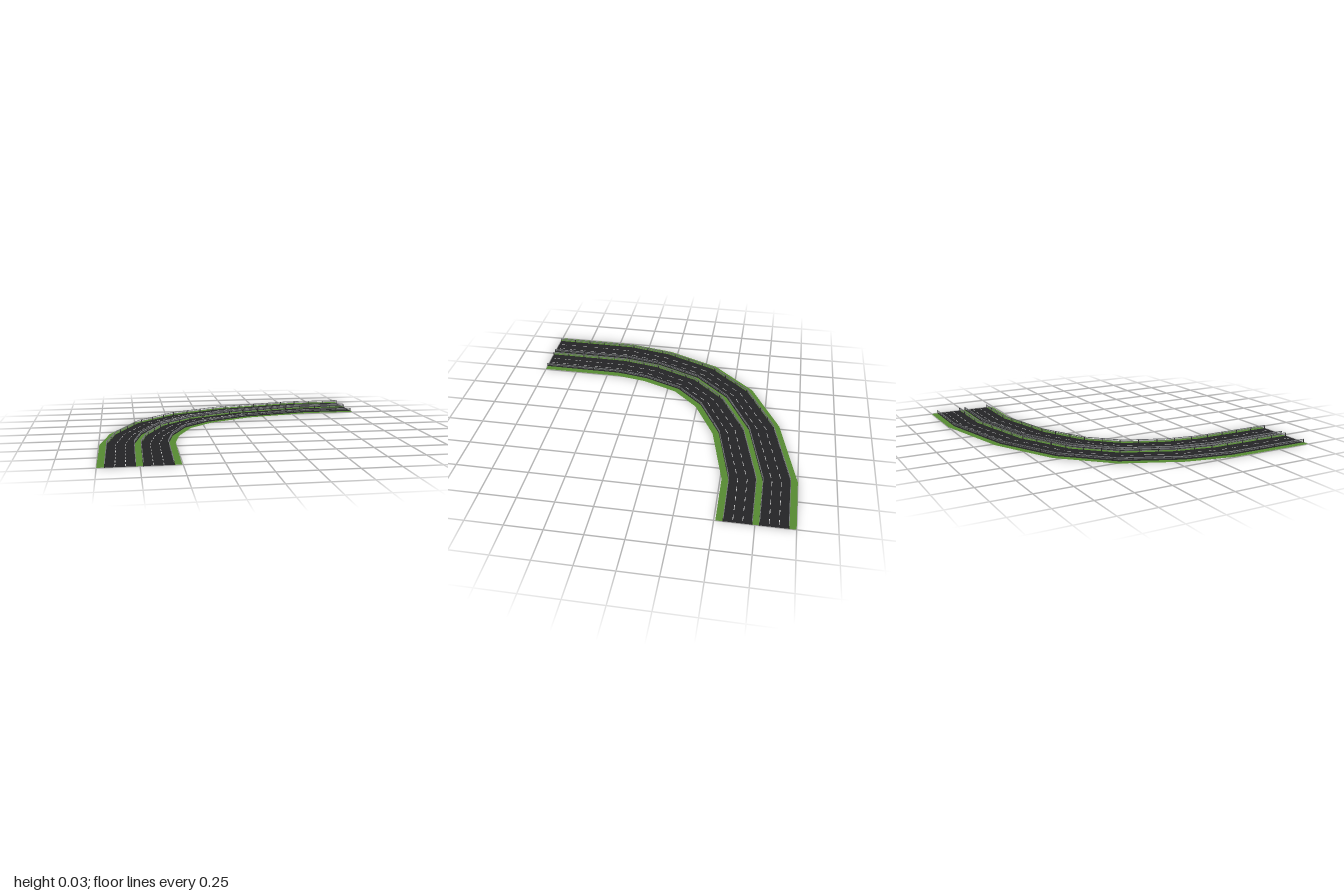
import * as THREE from 'three';

// Outer and inner borders of the bend as [x, z], from the front end to the side end
const OUTER = [[-1, 1], [-0.995, 0.39], [-0.93, 0.06], [-0.76, -0.33], [-0.465, -0.64], [-0.03, -0.86], [0.56, -1], [1, -1]];
const INNER = [[-0.505, 1], [-0.5, 0.42], [-0.46, 0.2], [-0.355, -0.06], [-0.18, -0.24], [0.13, -0.4], [0.61, -0.51], [1, -0.51]];
const SURFACE = 0.001;

const material = (color) => new THREE.MeshStandardMaterial({ color, flatShading: true, side: THREE.DoubleSide });

// Polyline across the bend at fraction f (0 = outer border, 1 = inner border)
const lineAt = (f) => OUTER.map(([x, z], i) => new THREE.Vector3(
  x + (INNER[i][0] - x) * f, 0, z + (INNER[i][1] - z) * f));

// Sweep a cross-section of [fraction, height] points along the bend
function sweep(section, closed = false) {
  const n = section.length;
  const lines = section.map(([f]) => lineAt(f));
  const positions = [], index = [];
  for (let i = 0; i < OUTER.length; i++) {
    section.forEach(([, y], j) => positions.push(lines[j][i].x, y, lines[j][i].z));
  }
  for (let i = 0; i < OUTER.length - 1; i++) {
    for (let j = 0; j < (closed ? n : n - 1); j++) {
      const a = i * n + j, b = i * n + (j + 1) % n;
      index.push(a, b, b + n, a, b + n, a + n);
    }
  }
  const geometry = new THREE.BufferGeometry();
  geometry.setAttribute('position', new THREE.Float32BufferAttribute(positions, 3));
  geometry.setIndex(index);
  geometry.computeVertexNormals();
  return geometry;
}

// Evenly spaced points with headings along the line at fraction f
function stations(f, spacing, offset) {
  const path = new THREE.CurvePath();
  const pts = lineAt(f);
  for (let i = 0; i < pts.length - 1; i++) path.add(new THREE.LineCurve3(pts[i], pts[i + 1]));
  const length = path.getLength();
  const count = Math.round(length / spacing);
  const last = offset ? count - 1 : count;
  return Array.from({ length: last + 1 }, (_, i) => {
    const t = Math.min((i + offset) / count, 0.9999);
    const d = path.getTangent(t);
    return { point: path.getPoint(t), angle: Math.atan2(d.x, d.z) };
  });
}

export function createModel() {
  const model = new THREE.Group();
  model.name = 'roadBend';
  const grass = material(0x568a32);
  const asphalt = material(0x242426);
  const paint = material(0xd8d8d8);
  const steel = material(0x77797b);
  const dark = material(0x2c2c2c);

  const add = (parent, name, geometry, mat) => {
    const mesh = new THREE.Mesh(geometry, mat);
    mesh.name = name;
    parent.add(mesh);
    return mesh;
  };
  const strip = (name, f0, f1, mat) => add(model, name, sweep([[f0, SURFACE], [f1, SURFACE]]), mat);

  // Flat ground strips
  strip('outerVerge', 0, 0.09, grass);
  strip('outerCarriageway', 0.09, 0.46, asphalt);
  strip('median', 0.46, 0.54, grass);
  strip('innerCarriageway', 0.54, 0.91, asphalt);
  strip('innerVerge', 0.91, 1, grass);

  // Dashed lane lines at the thirds of each carriageway
  const dashGeometry = new THREE.BoxGeometry(0.004, 0.002, 0.045);
  for (const start of [0.09, 0.54]) {
    for (const third of [1, 2]) {
      const lane = new THREE.Group();
      lane.name = 'laneLine';
      model.add(lane);
      for (const { point, angle } of stations(start + 0.37 * third / 3, 0.088, 0.5)) {
        const dash = add(lane, 'laneDash', dashGeometry, paint);
        dash.position.set(point.x, SURFACE, point.z);
        dash.rotation.y = angle;
      }
    }
  }

  // Guard rails with posts along the four carriageway edges
  const postGeometry = new THREE.BoxGeometry(0.005, 0.023, 0.005);
  const bar = (f, y0, y1, w) => sweep([[f - w, y1], [f + w, y1], [f + w, y0], [f - w, y0]], true);
  for (const f of [0.095, 0.455, 0.545, 0.905]) {
    const rail = new THREE.Group();
    rail.name = 'guardRail';
    model.add(rail);
    add(rail, 'topRail', bar(f, 0.02, 0.025, 0.004), steel);
    add(rail, 'lowerRail', bar(f, 0.011, 0.014, 0.003), steel);
    for (const { point, angle } of stations(f, 0.125, 0)) {
      const post = add(rail, 'post', postGeometry, dark);
      post.position.set(point.x, 0.0115, point.z);
      post.rotation.y = angle;
    }
  }
  return model;
}
